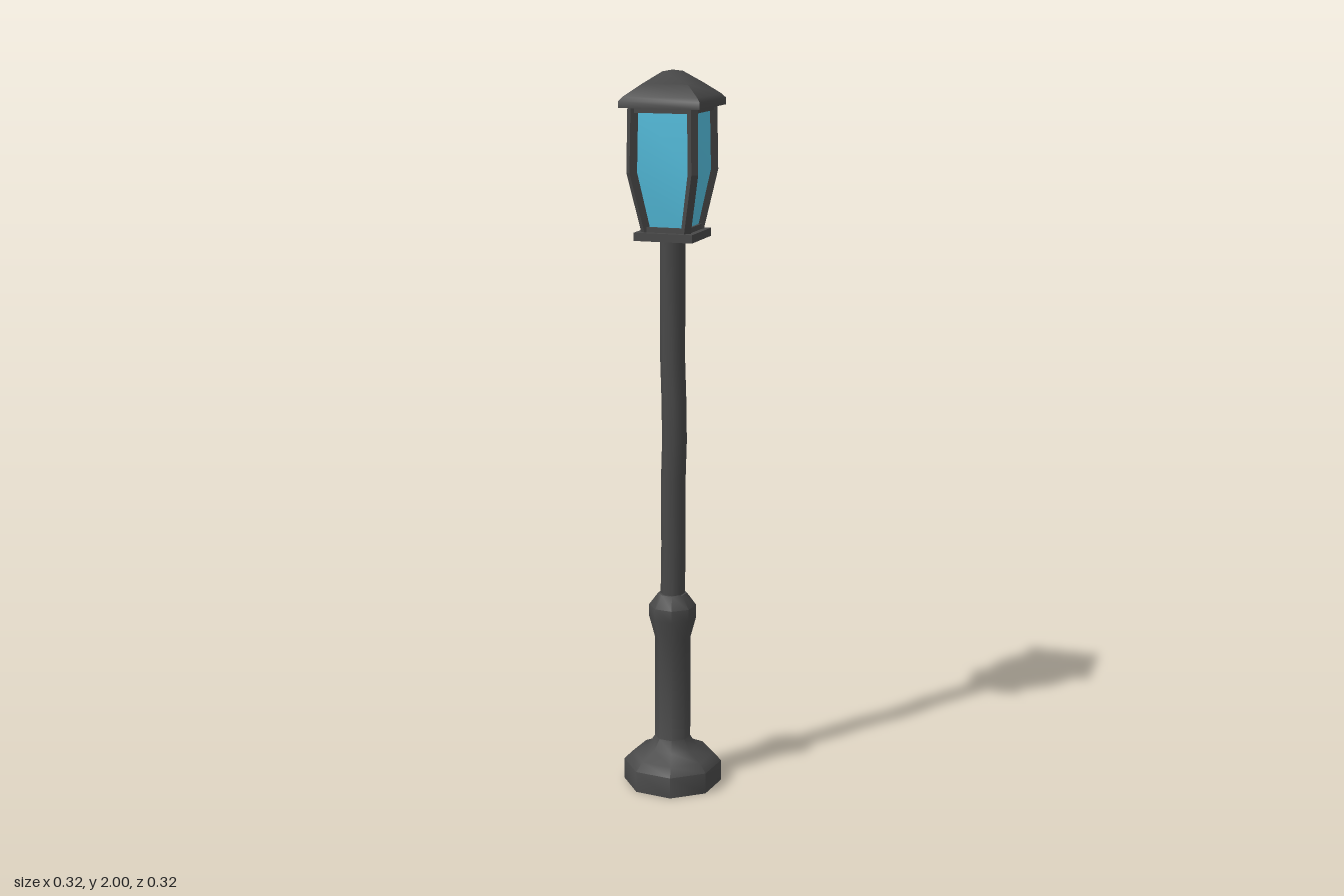
import * as THREE from 'three';
import { toCreasedNormals } from 'three/addons/utils/BufferGeometryUtils.js';

const iron = new THREE.MeshStandardMaterial({ color: 0x484848 });
const glass = new THREE.MeshStandardMaterial({ color: 0x55c0e0, side: THREE.DoubleSide });
const OCT_TURN = THREE.MathUtils.degToRad(16);

function add(parent, name, geometry, material = iron) {
  const mesh = new THREE.Mesh(geometry, material);
  mesh.name = name;
  parent.add(mesh);
  return mesh;
}

// Profile of [radius, height] points turned into an n-sided prism-like solid
function turned(profile, sides, start = 0, crease = 0.9) {
  const points = profile.map(([r, y]) => new THREE.Vector2(r, y));
  return toCreasedNormals(new THREE.LatheGeometry(points, sides, start), crease);
}

// Sideways drift of the slightly crooked pole, as [height, z offset]
const bend = [[0.55, 0], [0.7, 0.005], [0.88, 0.003], [1.0, 0.011], [1.12, 0.007], [1.22, 0], [1.57, 0]];

function createPole() {
  const points = bend.map(([y]) => new THREE.Vector2(0.034, y));
  const geometry = new THREE.LatheGeometry(points, 8, OCT_TURN);
  const pos = geometry.attributes.position;
  for (let i = 0; i < pos.count; i++) {
    pos.setZ(i, pos.getZ(i) + bend[i % bend.length][1]);
  }
  return toCreasedNormals(geometry, 0.9);
}

// Corner post: bent bar drawn in the radius/height plane
function createPost() {
  const shape = new THREE.Shape([
    [0.106, 1.57], [0.106, 1.575], [0.088, 1.575], [0.131, 1.735], [0.127, 1.912], [0.105, 1.912], [0.109, 1.738], [0.068, 1.575],
  ].slice(2).map(([x, y]) => new THREE.Vector2(x, y)));
  const geometry = new THREE.ExtrudeGeometry(shape, { depth: 0.02, bevelEnabled: false });
  geometry.translate(0, 0, -0.01);
  return geometry;
}

export function createModel() {
  const model = new THREE.Group();
  model.name = 'streetLamp';

  // Octagonal foot, lower column and collar
  add(model, 'pedestal', turned([
    [0, 0], [0.138, 0], [0.138, 0.06], [0.115, 0.083], [0.07, 0.105], [0.05, 0.135],
    [0.05, 0.43], [0.066, 0.49], [0.066, 0.525], [0.04, 0.56], [0, 0.56],
  ], 8, OCT_TURN));
  add(model, 'pole', createPole());

  // Four-sided lantern with its corners on the axes
  const lantern = new THREE.Group();
  lantern.name = 'lantern';
  model.add(lantern);

  add(lantern, 'lanternPlate', turned([
    [0, 1.555], [0.115, 1.555], [0.115, 1.577], [0, 1.577],
  ], 4));
  add(lantern, 'lanternGlass', turned([
    [0.079, 1.577], [0.119, 1.736], [0.115, 1.908],
  ], 4), glass);
  add(lantern, 'roof', turned([
    [0, 1.905], [0.158, 1.905], [0.158, 1.923], [0.145, 1.934], [0.09, 1.965], [0.03, 1.996], [0, 2],
  ], 4));

  // Posts on the corners, rails along the sides
  const postGeometry = createPost();
  for (let i = 0; i < 4; i++) {
    const angle = i * Math.PI / 2;
    add(lantern, 'cornerPost', postGeometry).rotation.y = angle;
    for (const [name, radius, y] of [['topRail', 0.117, 1.9], ['bottomRail', 0.082, 1.583]]) {
      const side = new THREE.Group();
      side.name = name;
      side.rotation.y = angle + Math.PI / 4;
      lantern.add(side);
      const rail = new THREE.BoxGeometry(radius * Math.SQRT2, 0.016, 0.014);
      add(side, name + 'Bar', rail).position.set(0, y, radius / Math.SQRT2);
    }
  }
  return model;
}
